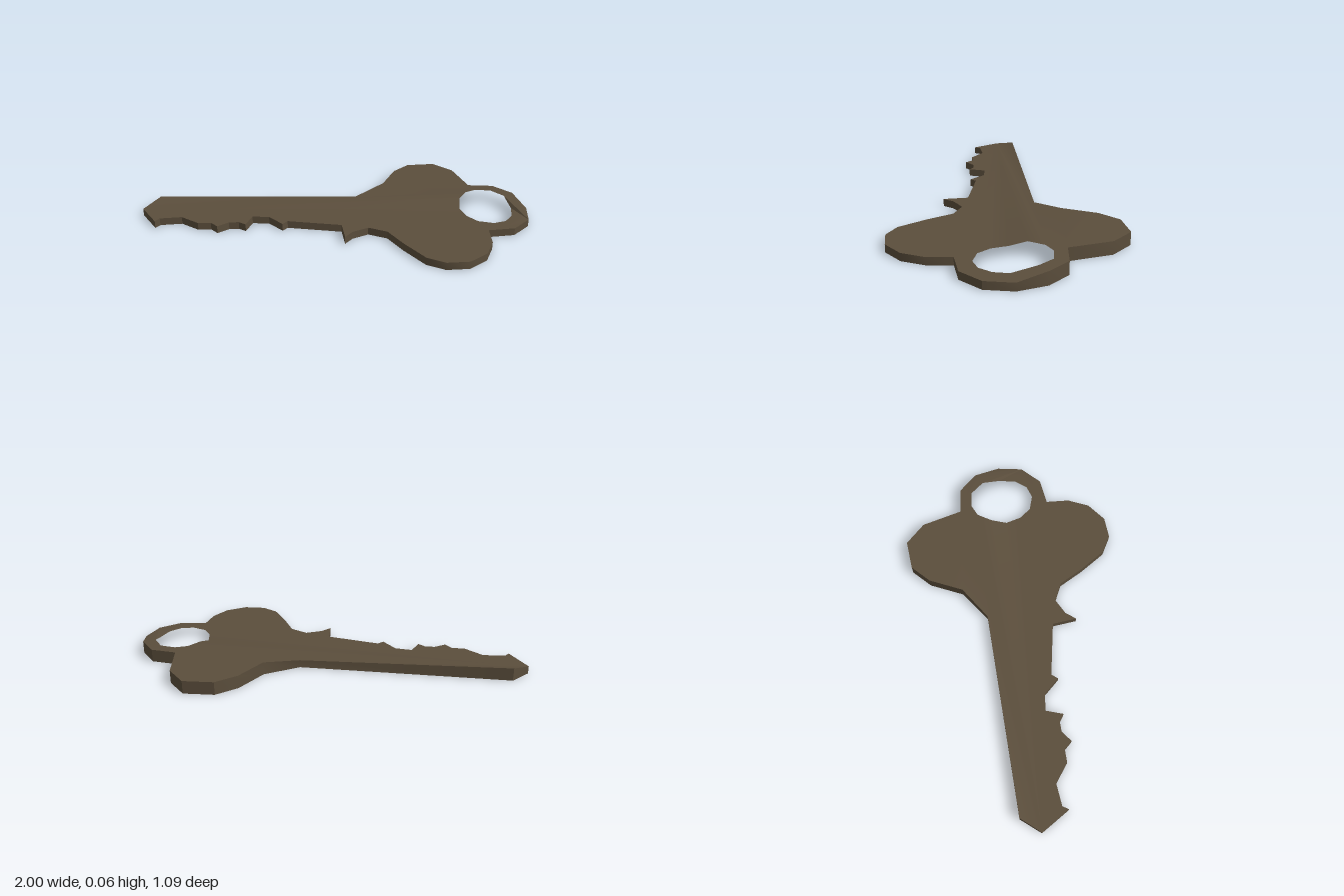
import * as THREE from 'three';
import { toCreasedNormals } from 'three/addons/utils/BufferGeometryUtils.js';

// Key outline as [x, z] corners, seen from above
const outline = [
  // tip and back of blade
  [-1, -0.08], [-0.92, -0.175], [0.12, -0.18],
  // back lobe of the bow
  [0.28, -0.29], [0.36, -0.455], [0.45, -0.54], [0.6, -0.55], [0.695, -0.45], [0.745, -0.24],
  // ring end
  [0.875, -0.225], [0.96, -0.13], [1, 0.005], [0.975, 0.135], [0.88, 0.225], [0.745, 0.24],
  // front lobe of the bow
  [0.735, 0.36], [0.685, 0.465], [0.59, 0.535], [0.48, 0.54], [0.395, 0.49], [0.31, 0.355], [0.245, 0.23],
  // shoulder spur
  [0.155, 0.185], [0.075, 0.225], [0.035, 0.275], [0.025, 0.15],
  // teeth
  [-0.245, 0.095], [-0.27, 0.125], [-0.34, 0.045], [-0.425, 0.035], [-0.455, 0.12], [-0.49, 0.095],
  [-0.54, 0.095], [-0.595, 0.135], [-0.63, 0.095], [-0.695, 0.095], [-0.785, 0.025], [-0.895, 0.035],
  [-0.915, 0.065],
];

const hole = [
  [0.65, 0], [0.665, -0.08], [0.71, -0.15], [0.77, -0.177], [0.85, -0.165], [0.905, -0.095],
  [0.92, 0], [0.9, 0.09], [0.855, 0.145], [0.79, 0.165], [0.715, 0.14], [0.67, 0.08],
];

const toPoints = (list) => list.map(([x, z]) => new THREE.Vector2(x, -z));

// The back half is thicker, except at the tip and the blade shoulder
function topHeight(x, z) {
  const thin = z > -0.05 || x < -0.99 || Math.abs(x - 0.12) < 0.01;
  return thin ? 0.038 : 0.064;
}

export function createModel() {
  const brass = new THREE.MeshStandardMaterial({ color: 0x5b4e3c });
  brass.name = 'dark brass';

  const shape = new THREE.Shape(toPoints(outline));
  shape.holes.push(new THREE.Path(toPoints(hole)));
  const geometry = new THREE.ExtrudeGeometry(shape, { depth: 1, bevelEnabled: false, steps: 1 });
  geometry.rotateX(-Math.PI / 2);

  // Set the uneven thickness of the upper face
  const pos = geometry.attributes.position;
  for (let i = 0; i < pos.count; i++) {
    pos.setY(i, pos.getY(i) > 0.5 ? topHeight(pos.getX(i), pos.getZ(i)) : 0);
  }
  geometry.clearGroups();

  const key = new THREE.Mesh(toCreasedNormals(geometry, 0.6), brass);
  key.name = 'keyBody';

  const group = new THREE.Group();
  group.name = 'key';
  group.add(key);
  return group;
}
